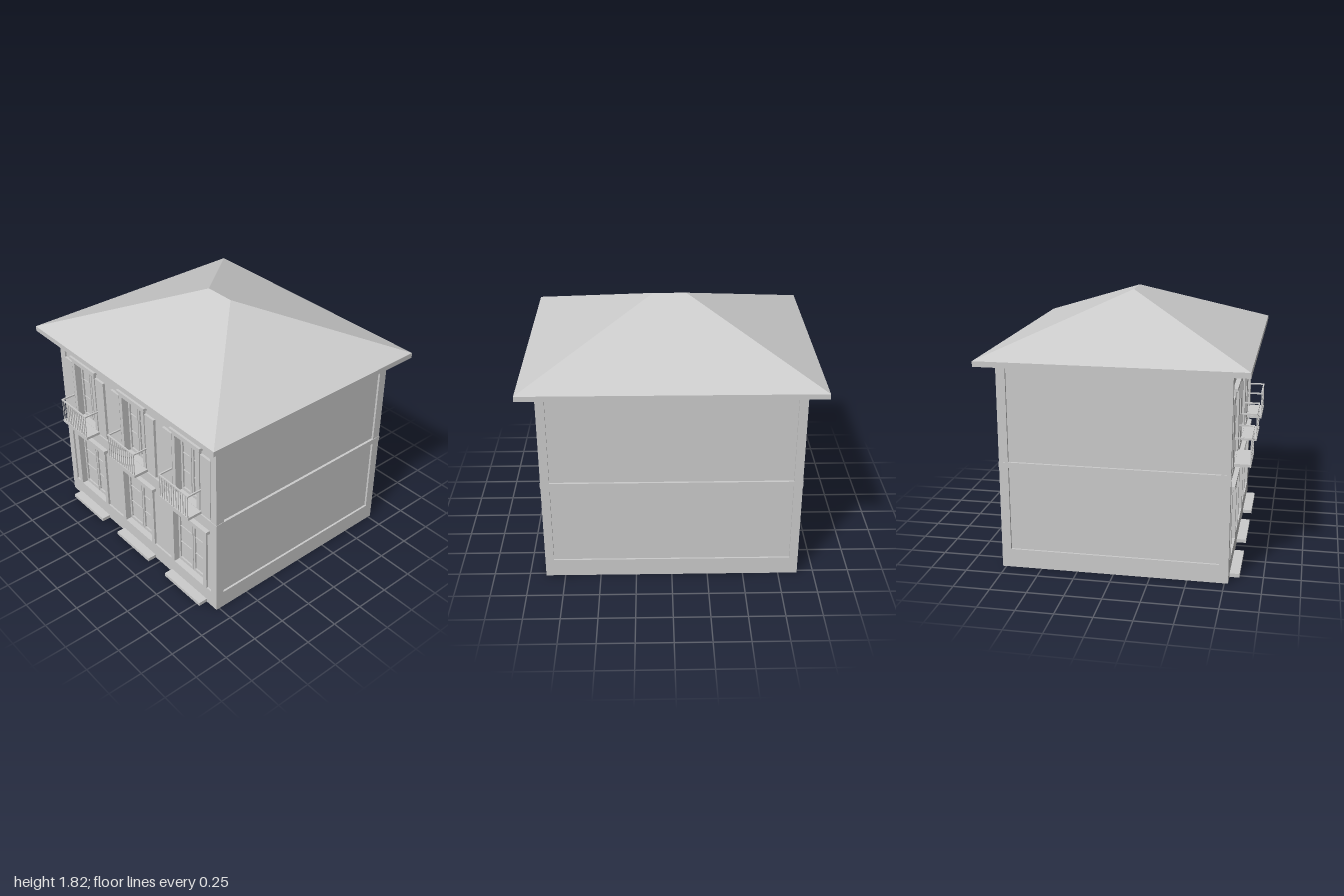
import * as THREE from 'three';

const plaster = new THREE.MeshStandardMaterial({ color: 0xcccccc });
plaster.name = 'pale grey plaster';

// Box given by its low and high limits on each axis
function block(parent, name, x0, x1, y0, y1, z0, z1) {
  const mesh = new THREE.Mesh(new THREE.BoxGeometry(x1 - x0, y1 - y0, z1 - z0), plaster);
  mesh.position.set((x0 + x1) / 2, (y0 + y1) / 2, (z0 + z1) / 2);
  mesh.name = name;
  parent.add(mesh);
  return mesh;
}

function group(parent, name) {
  const g = new THREE.Group();
  g.name = name;
  parent.add(g);
  return g;
}

function rect(path, x0, x1, y0, y1) {
  return path.moveTo(x0, y0).lineTo(x1, y0).lineTo(x1, y1).lineTo(x0, y1).closePath();
}

// Flat plate with rectangular holes, facing +z
function plate(parent, name, outer, holes, z0, z1) {
  const shape = rect(new THREE.Shape(), ...outer);
  for (const h of holes) shape.holes.push(rect(new THREE.Path(), ...h));
  const geo = new THREE.ExtrudeGeometry(shape, { depth: z1 - z0, bevelEnabled: false });
  const mesh = new THREE.Mesh(geo, plaster);
  mesh.position.z = z0;
  mesh.name = name;
  parent.add(mesh);
}

const W = 0.885, D = 0.775;        // outer wall faces
const PW = 0.87, PD = 0.762;       // recessed panel faces
const GLASS = 0.72;                // plane of the panes
const BAYS = [-0.585, 0, 0.585];

// Two-leaf casement with thin glazing bars
function casement(parent, w, y0, y1, bars) {
  const g = group(parent, 'casement');
  const s = 0.016;
  for (const side of [-1, 1]) {
    const a = side < 0 ? -w : 0.003, b = side < 0 ? -0.003 : w;
    plate(g, 'windowLeaf', [a, b, y0, y1], [[a + s, b - s, y0 + s * 1.5, y1 - s]], GLASS, GLASS + 0.012);
    for (const t of bars) {
      const y = y0 + (y1 - y0) * t;
      block(g, 'glazingBar', a + s, b - s, y - 0.004, y + 0.004, GLASS, GLASS + 0.007);
    }
  }
}

function groundFloorBay(parent, x) {
  const bay = group(parent, 'groundFloorBay');
  bay.position.x = x;
  plate(bay, 'doorSurround', [-0.195, 0.195, 0.13, 0.627], [[-0.16, 0.16, 0.13001, 0.592]], PD - 0.01, D + 0.003);
  block(bay, 'doorHeadMoulding', -0.205, 0.205, 0.612, 0.627, PD, 0.784);
  block(bay, 'doorHead', -0.217, 0.217, 0.625, 0.65, PD, 0.796);
  block(bay, 'doorstep', -0.195, 0.195, 0, 0.026, 0.76, 0.842);
  casement(bay, 0.16, 0.13, 0.592, [0.36, 0.67]);
}

function upperFloorBay(parent, x) {
  const bay = group(parent, 'upperFloorBay');
  bay.position.x = x;
  plate(bay, 'windowSurround', [-0.14, 0.14, 0.77, 1.277], [[-0.11, 0.11, 0.79, 1.25]], PD - 0.01, 0.783);
  block(bay, 'windowHead', -0.157, 0.157, 1.275, 1.295, PD, 0.793);
  casement(bay, 0.11, 0.79, 1.25, [0.36, 0.67]);

  // Open shutters
  for (const s of [-1, 1]) {
    const m = block(bay, 'shutter', 0.147, 0.245, 0.77, 1.245, PD - 0.005, 0.78);
    m.position.x *= s;
  }

  // Balcony with front balusters and a three-sided handrail
  const balcony = group(bay, 'balcony');
  block(balcony, 'balconySlab', -0.155, 0.155, 0.768, 0.788, PD, 0.892);
  block(balcony, 'frontRail', -0.155, 0.155, 0.957, 0.967, 0.882, 0.892);
  for (const s of [-1, 1]) {
    const m = block(balcony, 'sideRail', 0.145, 0.155, 0.957, 0.967, 0.76, 0.884);
    m.position.x *= s;
  }
  const n = 13;
  for (let i = 0; i < n; i++) {
    const bx = -0.147 + (0.294 * i) / (n - 1);
    block(balcony, 'baluster', bx - 0.0025, bx + 0.0025, 0.785, 0.96, 0.885, 0.89);
  }
}

// Hipped roof: four slopes meeting at a short ridge
function hippedRoof() {
  const y = 1.465, x = 1, z = 0.89;
  const a = [-x, y, z], b = [x, y, z], c = [x, y, -z], d = [-x, y, -z];
  const l = [-0.115, 1.82, 0], r = [0.115, 1.82, 0];
  const tris = [a, b, r, a, r, l, b, c, r, c, d, l, c, l, r, d, a, l];
  const geo = new THREE.BufferGeometry();
  geo.setAttribute('position', new THREE.Float32BufferAttribute(tris.flat(), 3));
  geo.computeVertexNormals();
  return geo;
}

export function createModel() {
  const house = new THREE.Group();
  house.name = 'house';

  // Core, with a pierced front wall layer that forms the deep reveals
  const walls = group(house, 'walls');
  block(walls, 'wallCore', -PW, PW, 0.01, 1.42, -PD, GLASS);
  const openings = BAYS.flatMap(x => [
    [x - 0.16, x + 0.16, 0.13, 0.592],
    [x - 0.11, x + 0.11, 0.79, 1.25],
  ]);
  plate(walls, 'frontWall', [-PW, PW, 0.01, 1.42], openings, GLASS - 0.005, PD);

  // Raised bands and corner piers frame the recessed panels
  block(walls, 'plinth', -W, W, 0, 0.13, -D, D);
  block(walls, 'floorBand', -W - 0.003, W + 0.003, 0.718, 0.755, -D - 0.003, D + 0.003);
  block(walls, 'topBand', -W, W, 1.41, 1.43, -D, D);
  for (const sx of [-1, 1]) for (const sz of [-1, 1]) {
    const pier = block(walls, 'cornerPier', 0.825, W, 0.13, 1.41, 0.712, D);
    pier.position.x *= sx;
    pier.position.z *= sz;
  }

  for (const x of BAYS) {
    groundFloorBay(house, x);
    upperFloorBay(house, x);
  }

  // Roof
  const roof = group(house, 'roof');
  block(roof, 'cornice', -0.897, 0.897, 1.415, 1.43, -0.787, 0.787);
  block(roof, 'eaves', -1, 1, 1.428, 1.465, -0.89, 0.89);
  const slopes = new THREE.Mesh(hippedRoof(), plaster);
  slopes.name = 'roofSlopes';
  roof.add(slopes);

  return house;
}
